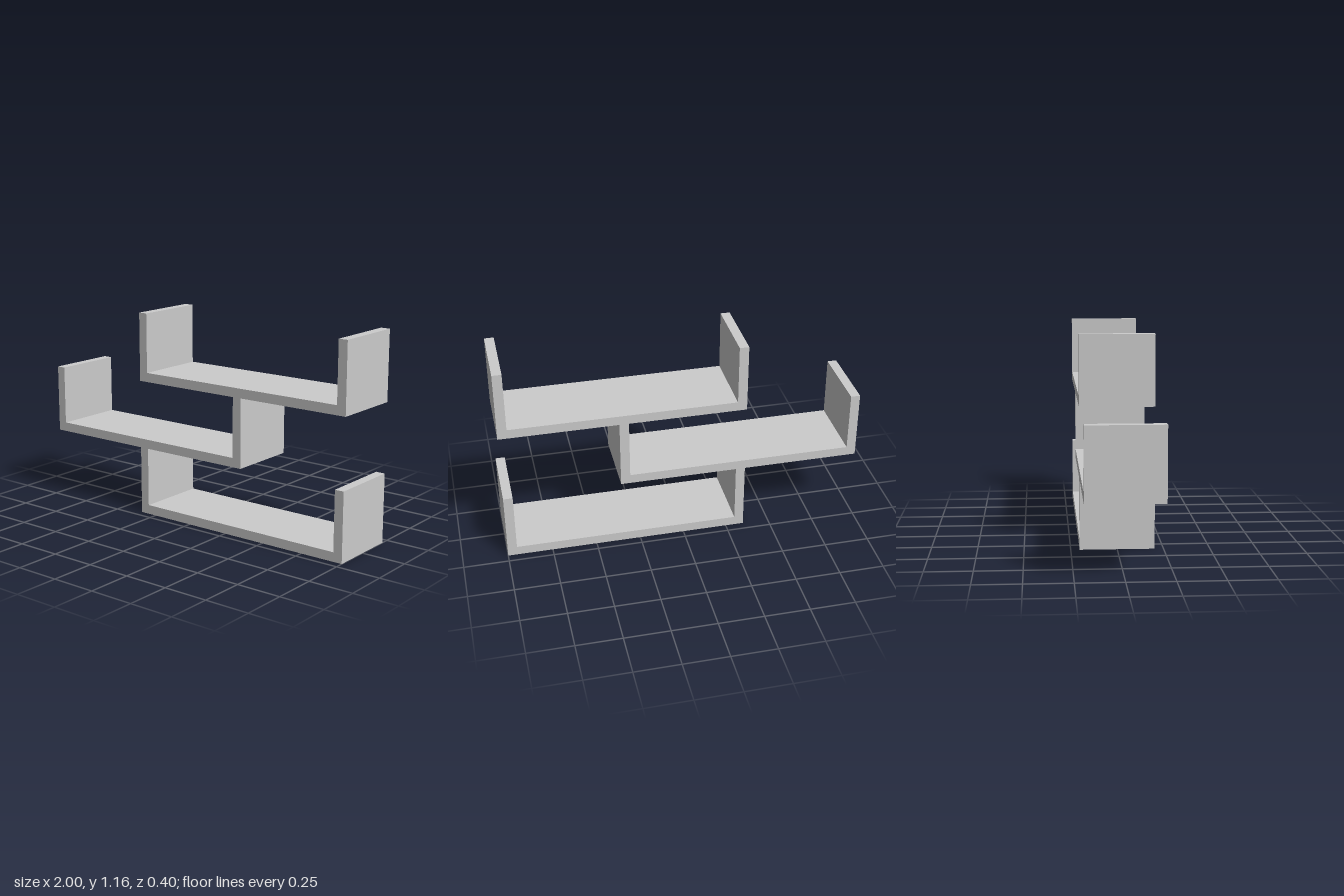
import * as THREE from 'three';

const WIDTH = 1.352, HEIGHT = 0.386, DEPTH = 0.404, BOARD = 0.052;

// One U-shaped tray: a base board with an upright at each end
function trayGeometry() {
  const w = WIDTH / 2, i = w - BOARD;
  const outline = [
    [-w, 0], [w, 0], [w, HEIGHT], [i, HEIGHT],
    [i, BOARD], [-i, BOARD], [-i, HEIGHT], [-w, HEIGHT],
  ].map(([x, y]) => new THREE.Vector2(x, y));
  const geometry = new THREE.ExtrudeGeometry(new THREE.Shape(outline), { depth: DEPTH, bevelEnabled: false });
  return geometry.translate(0, 0, -DEPTH / 2);
}

export function createModel() {
  const group = new THREE.Group();
  group.name = 'wallShelf';
  const material = new THREE.MeshStandardMaterial({ color: 0xcccccc });
  const geometry = trayGeometry();

  // Three trays stacked, staggered left, right, left
  ['lowerShelf', 'middleShelf', 'upperShelf'].forEach((name, level) => {
    const shelf = new THREE.Mesh(geometry, material);
    shelf.name = name;
    const side = level % 2 === 0 ? 1 : -1;
    shelf.position.set(side * (1 - WIDTH / 2), level * HEIGHT, 0);
    group.add(shelf);
  });
  return group;
}
